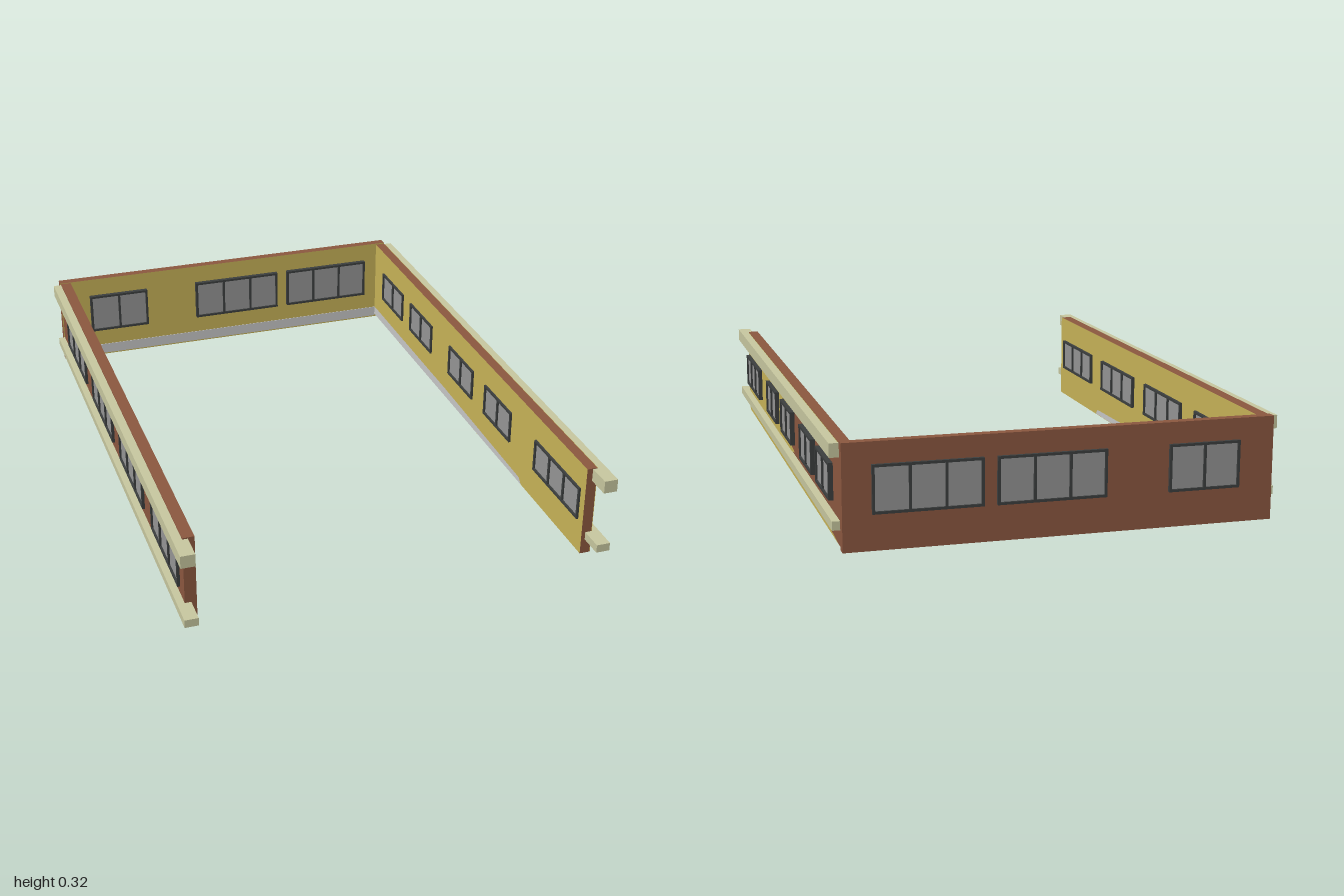
import * as THREE from 'three';

const mat = (name, color) => {
  const m = new THREE.MeshStandardMaterial({ color });
  m.name = name;
  return m;
};

export function createModel() {
  const group = new THREE.Group();
  const yellow = mat('yellow plaster', 0xc8b458);
  const brown = mat('brown brick', 0x8c5840);
  const grey = mat('grey skirting', 0xc8c8c8);
  const stone = mat('pale stone', 0xc8c8a0);
  const dark = mat('dark frame', 0x3c3f3f);
  const glass = mat('grey glass', 0x969696);
  for (const m of [yellow, grey]) m.side = THREE.DoubleSide;

  const add = (name, geometry, material, parent = group) => {
    const mesh = new THREE.Mesh(geometry, material);
    mesh.name = name;
    parent.add(mesh);
    return mesh;
  };
  // Box from its limits
  const box = (name, [x0, x1], [y0, y1], [z0, z1], material) => {
    const g = new THREE.BoxGeometry(x1 - x0, y1 - y0, z1 - z0);
    g.translate((x0 + x1) / 2, (y0 + y1) / 2, (z0 + z1) / 2);
    return add(name, g, material);
  };
  // Flat painted panel in the side plane x, with corners given as [z, y]
  const sidePanel = (name, x, facing, points, material) => {
    const shape = new THREE.Shape(points.map(([z, y]) => new THREE.Vector2(-facing * z, y)));
    const g = new THREE.ShapeGeometry(shape);
    g.rotateY(facing * Math.PI / 2);
    g.translate(x, 0, 0);
    add(name, g, material);
  };
  // Window through a wall: framed openings with recessed panes
  const makeWindow = (name, width, height, panes) => {
    const win = new THREE.Group();
    win.name = name;
    const w = width / 2, h = height / 2, bar = 0.008, depth = 0.056;
    const shape = new THREE.Shape([[-w, -h], [w, -h], [w, h], [-w, h]].map(p => new THREE.Vector2(...p)));
    const step = (width - bar) / panes;
    for (let i = 0; i < panes; i++) {
      const a = -w + bar + i * step, b = a + step - bar, t = h - bar;
      shape.holes.push(new THREE.Path([[a, -t], [a, t], [b, t], [b, -t]].map(p => new THREE.Vector2(...p))));
    }
    const frame = new THREE.ExtrudeGeometry(shape, { depth, bevelEnabled: false });
    frame.translate(0, 0, -depth / 2);
    add('windowFrame', frame, dark, win);
    add('windowPanes', new THREE.BoxGeometry(width - bar, height - bar, 0.044), glass, win);
    group.add(win);
    return win;
  };

  // Walls: brick outside, plaster inside
  const B = brown, Y = yellow;
  box('leftWall', [-0.662, -0.625], [0.01, 0.32], [-0.96, 0.915], [Y, B, B, B, B, B]);
  box('rightWall', [0.622, 0.656], [0.01, 0.318], [-0.96, 0.92], [B, Y, B, B, B, B]);
  box('backWall', [-0.665, 0.656], [0, 0.322], [-0.99, -0.96], [B, B, B, B, Y, B]);

  // Skirting along the inside
  const skirt = [[0.48, 0.012], [-0.958, 0.012], [-0.958, 0.045], [-0.2, 0.043], [0.46, 0.03]];
  sidePanel('leftSkirting', -0.6235, 1, skirt, grey);
  sidePanel('rightSkirting', 0.6205, -1, skirt, grey);
  box('backSkirting', [-0.625, 0.622], [0.005, 0.043], [-0.96, -0.958], grey);

  // Plaster areas on the outside of the right wall
  sidePanel('rightPlaster', 0.6575, 1, [
    [0.92, 0.05], [0.92, 0.318], [-0.95, 0.318], [-0.95, 0.305], [-0.5, 0.28], [-0.33, 0.265],
    [-0.12, 0.245], [0.03, 0.215], [0.05, 0.17], [0.03, 0.125], [-0.17, 0.097], [0.1, 0.05],
  ], yellow);
  sidePanel('rightPlasterFoot', 0.6575, 1,
    [[0.92, 0.011], [0.92, 0.034], [-0.65, 0.034], [-0.95, 0.012]], yellow);

  // Ledges running along the outside of both side walls
  box('leftUpperLedge', [-0.69, -0.645], [0.275, 0.316], [-0.96, 1], stone);
  box('leftLowerLedge', [-0.685, -0.642], [0.069, 0.095], [-0.96, 1], stone);
  box('rightUpperLedge', [0.641, 0.685], [0.274, 0.316], [-0.96, 1], stone);
  box('rightLowerLedge', [0.635, 0.68], [0.06, 0.087], [-0.96, 1], stone);

  // Windows: [from, to, panes] along each wall
  const sideWindows = (name, x, y, list) => list.forEach(([a, b, n]) => {
    const win = makeWindow(name, b - a, 0.112, n);
    win.rotation.y = Math.PI / 2;
    win.position.set(x, y, (a + b) / 2);
  });
  sideWindows('leftWindow', -0.643, 0.177,
    [[0.53, 0.865, 3], [0.075, 0.41, 3], [-0.375, -0.04, 3], [-0.83, -0.495, 3]]);
  sideWindows('rightWindow', 0.643, 0.177,
    [[0.565, 0.89, 3], [0.155, 0.375, 2], [-0.17, 0.05, 2], [-0.56, -0.34, 2], [-0.86, -0.64, 2]]);
  for (const [a, b, n] of [[-0.555, -0.33, 2], [-0.135, 0.2, 3], [0.24, 0.57, 3]]) {
    makeWindow('backWindow', b - a, 0.146, n).position.set((a + b) / 2, 0.183, -0.972);
  }
  return group;
}
